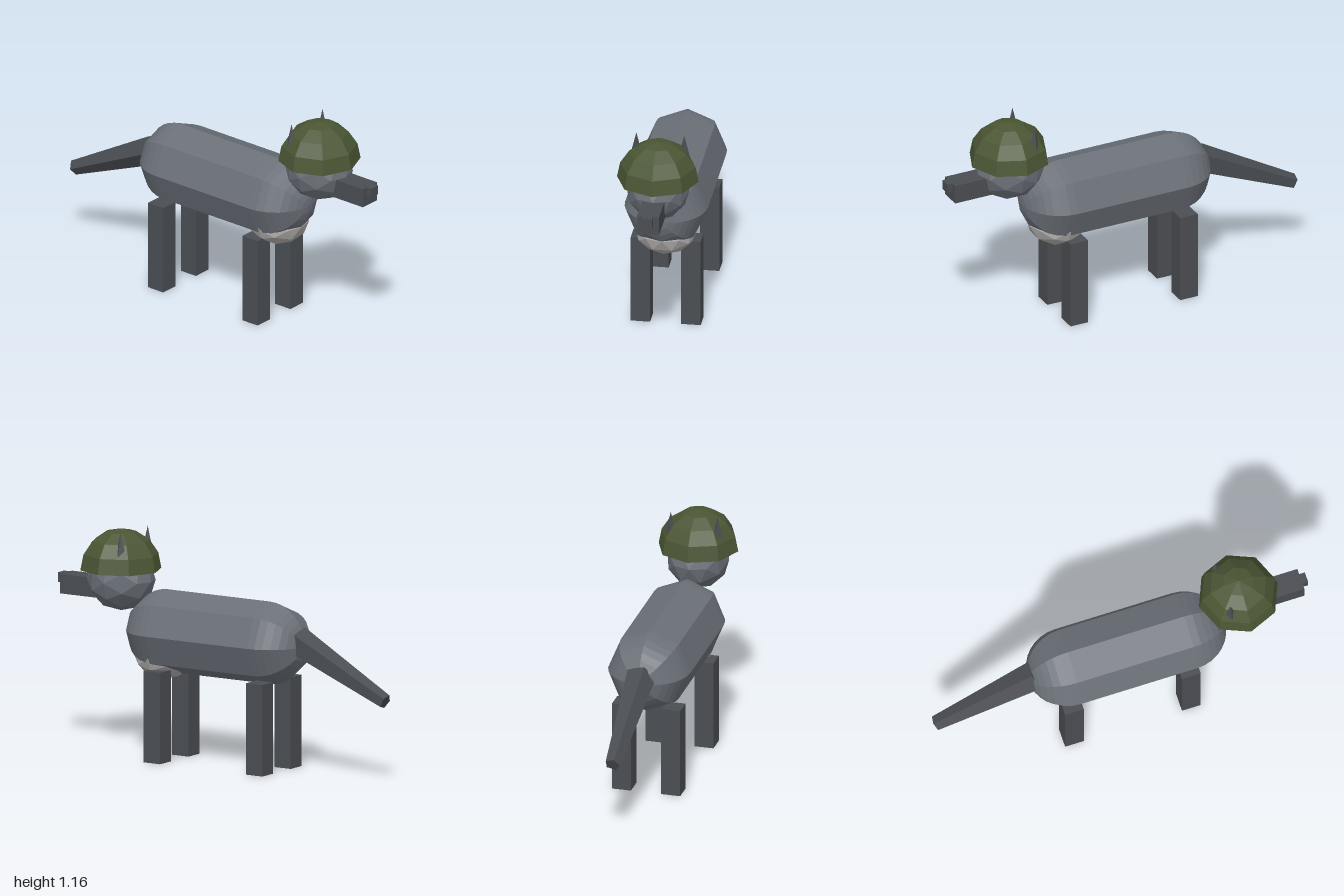
import * as THREE from 'three';

export function createModel() {
  const model = new THREE.Group();
  model.name = 'helmetedWolf';

  const material = (name, color, extra = {}) => {
    const m = new THREE.MeshStandardMaterial({ color, flatShading: true, ...extra });
    m.name = name;
    return m;
  };
  const fur = material('greyFur', 0x6b7078);
  const darkFur = material('darkFur', 0x4a4d52);
  const paleFur = material('paleFur', 0xb0aeac);
  const olive = material('oliveHelmet', 0x4b5634, { side: THREE.DoubleSide });

  const add = (name, geometry, mat, x, y, z = 0) => {
    const mesh = new THREE.Mesh(geometry, mat);
    mesh.name = name;
    mesh.position.set(x, y, z);
    model.add(mesh);
    return mesh;
  };

  // Eight-sided capsule body lying along x
  const body = add('body', new THREE.CapsuleGeometry(0.213, 0.624, 8, 8), fur, 0.035, 0.657);
  body.rotation.z = -Math.PI / 2;

  // Pale chest tuft under the front of the body
  const chest = add('chest', new THREE.IcosahedronGeometry(1, 1), paleFur, 0.365, 0.53);
  chest.scale.set(0.155, 0.122, 0.16);

  // Head, snout and nose
  const head = add('head', new THREE.IcosahedronGeometry(1, 1), fur, 0.632, 0.895);
  head.scale.set(0.18, 0.162, 0.163);
  add('snout', new THREE.BoxGeometry(0.23, 0.1, 0.114), darkFur, 0.855, 0.844);
  add('nose', new THREE.BoxGeometry(0.05, 0.05, 0.054), darkFur, 0.975, 0.871);

  // Open half-dome helmet
  add('helmet', new THREE.SphereGeometry(0.21, 8, 4, 0, Math.PI * 2, 0, Math.PI / 2), olive, 0.635, 0.945);

  // Ears poking through the helmet, and the legs
  for (const side of [-1, 1]) {
    add('ear', new THREE.ConeGeometry(0.05, 0.2, 4), darkFur, 0.553, 1.06, side * 0.123);
    for (const [name, x] of [['frontLeg', 0.325], ['backLeg', -0.3]]) {
      add(name, new THREE.BoxGeometry(0.1, 0.472, 0.1), darkFur, x, 0.236, side * 0.13);
    }
  }

  // Five-sided tail tapering down and back
  const tail = add('tail', new THREE.CylinderGeometry(0.08, 0.04, 0.6, 5), darkFur, -0.713, 0.553);
  tail.rotation.z = -1.12;

  return model;
}
